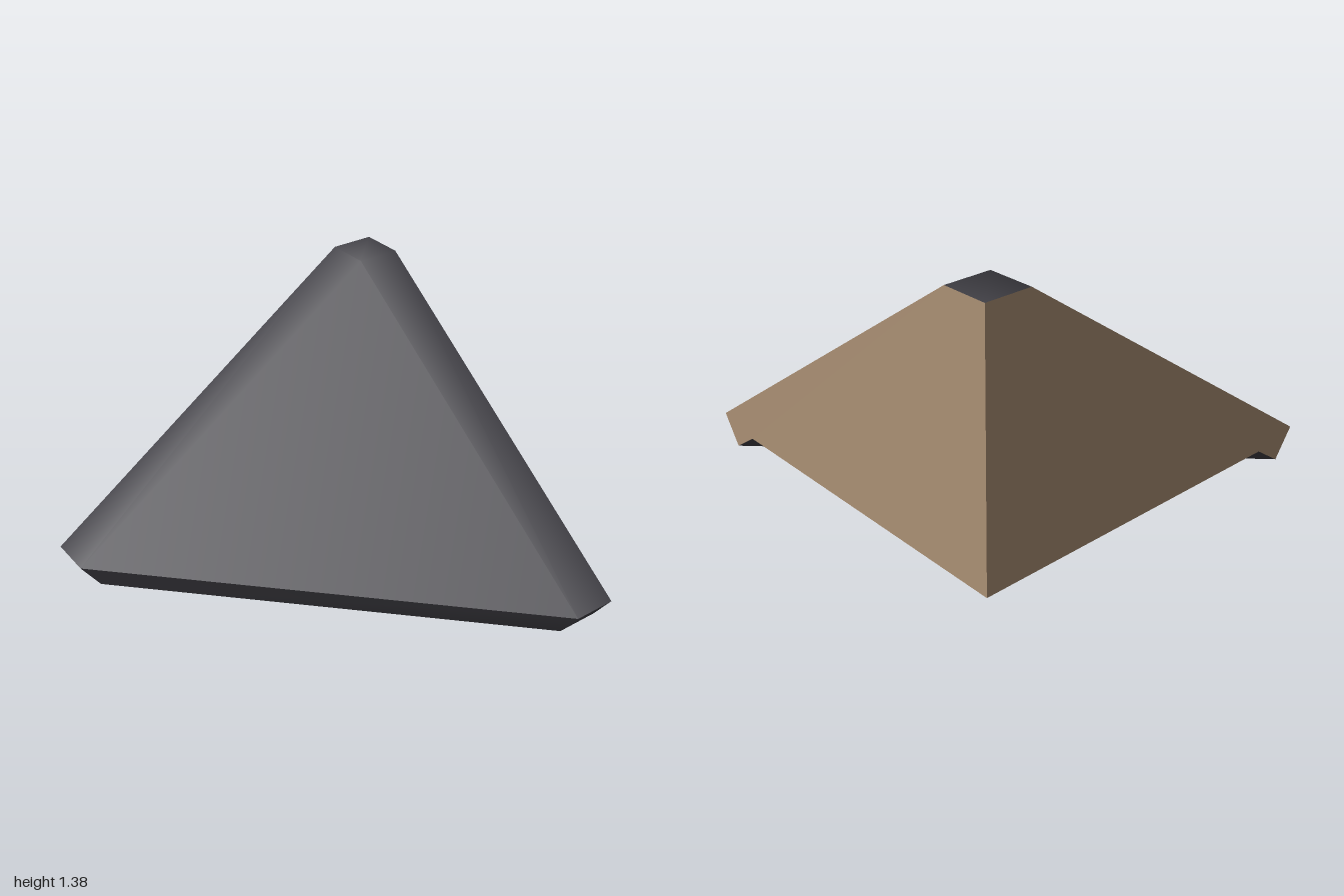
import * as THREE from 'three';
import { mergeVertices } from 'three/addons/utils/BufferGeometryUtils.js';

const TOP = 1.375, EAVE = 0.147, BASE = 0.1, RIDGE = -0.77, TIP = 0.9, WALL = 0.753;

// Named corners of the roof corner block
const P = {
  t0: [-1, TOP, -1], t1: [RIDGE, TOP, -1], t2: [RIDGE, TOP, RIDGE], t3: [-1, TOP, RIDGE],
  e1: [1, EAVE, -1], e2: [1, EAVE, RIDGE], e3: [RIDGE, EAVE, 1], e4: [-1, EAVE, 1],
  b1: [TIP, 0, -1], b2: [TIP, 0, RIDGE], b3: [RIDGE, 0, TIP], b4: [-1, 0, TIP],
  n1: [WALL, BASE, -1], n4: [-1, BASE, WALL], c: [-1, BASE, -1],
};

// Builds polygons as fans from their first corner; smooth joins their normals
function panel(name, material, faces, smooth = false) {
  const pos = [];
  for (const face of faces) {
    const v = face.split(' ').map((k) => P[k]);
    for (let i = 1; i < v.length - 1; i++) pos.push(...v[0], ...v[i], ...v[i + 1]);
  }
  let geo = new THREE.BufferGeometry();
  geo.setAttribute('position', new THREE.Float32BufferAttribute(pos, 3));
  if (smooth) geo = mergeVertices(geo);
  geo.computeVertexNormals();
  const mesh = new THREE.Mesh(geo, material);
  mesh.name = name;
  return mesh;
}

export function createModel() {
  const roofing = new THREE.MeshStandardMaterial({ color: 0x424147 });
  roofing.name = 'charcoal roofing';
  const timber = new THREE.MeshStandardMaterial({ color: 0xab9074 });
  timber.name = 'tan timber';

  const group = new THREE.Group();
  group.name = 'roofCorner';
  group.add(
    // Sloping roof with its flat cap and two side strips
    panel('roofSlope', roofing, ['t0 t3 t2 t1', 't1 t2 e2 e1', 't2 e3 e2', 't3 e4 e3 t2'], true),
    // Slanted edge along the eave
    panel('eaveEdge', roofing, ['e1 e2 b2 b1', 'e2 e3 b3 b2', 'e3 e4 b4 b3'], true),
    // Underside of the overhang
    panel('eaveUnderside', roofing, ['b1 b2 b3 b4']),
    panel('soffit', roofing, ['b1 b4 n4 n1']),
    // Upright gable walls and the floor between them
    panel('backWall', timber, ['n1 c t0 t1 e1 b1']),
    panel('sideWall', timber, ['n4 b4 e4 t3 t0 c']),
    panel('floor', timber, ['c n1 n4']),
  );
  return group;
}
